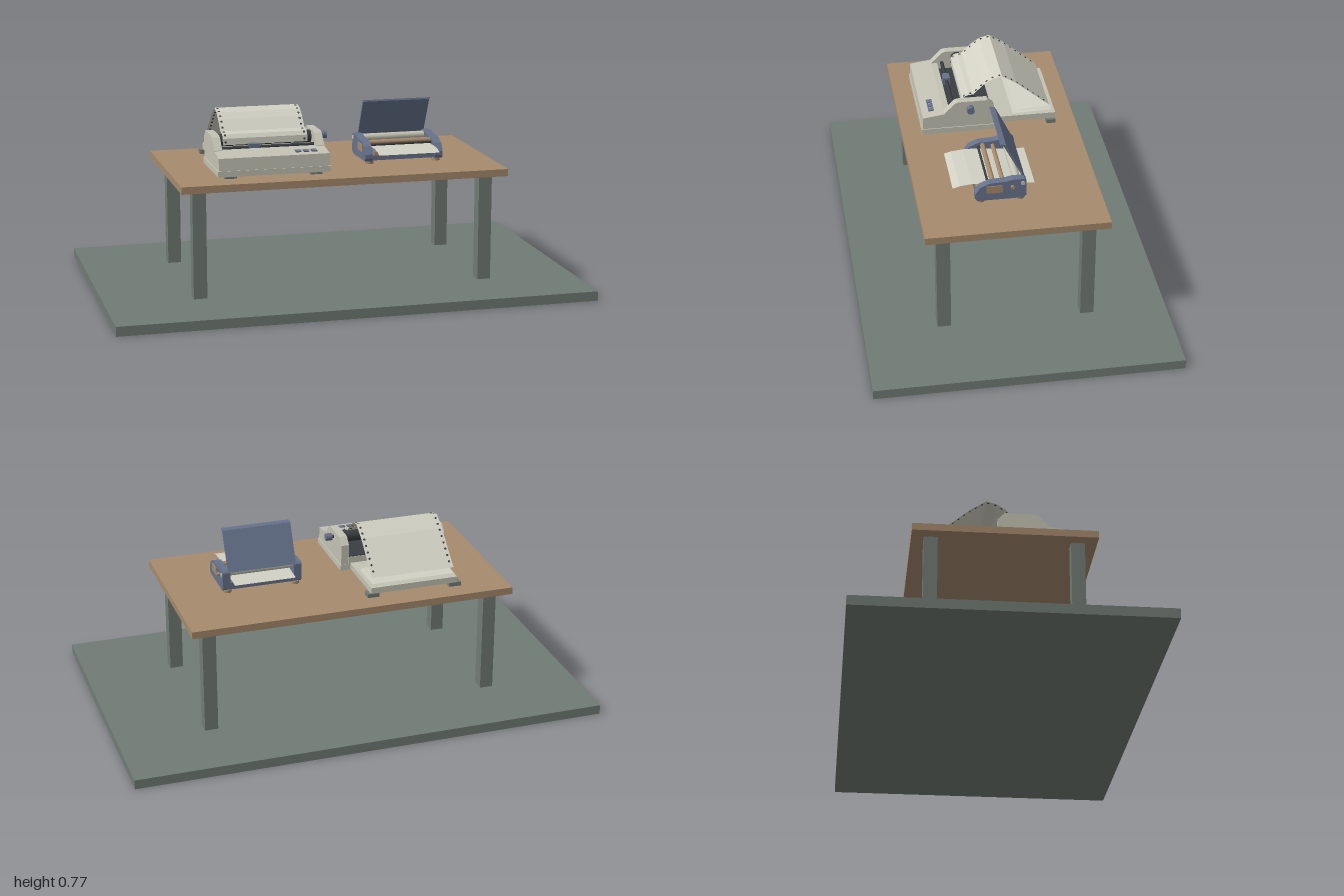
import * as THREE from 'three';
import { mergeGeometries } from 'three/addons/utils/BufferGeometryUtils.js';

const mat = (name, color, side = THREE.FrontSide) => {
  const m = new THREE.MeshStandardMaterial({ color, side });
  m.name = name;
  return m;
};

export function createModel() {
  const slate = mat('slate green', 0x717b75);
  const wood = mat('tan', 0xa68a6c);
  const casing = mat('casing cream', 0xc4c3b4);
  const paper = mat('paper', 0xd2d1c4, THREE.DoubleSide);
  const blue = mat('slate blue', 0x67738c);
  const dark = mat('charcoal', 0x3a3e42);
  const root = new THREE.Group();

  const group = (name) => {
    const g = new THREE.Group();
    g.name = name;
    root.add(g);
    return g;
  };
  const add = (parent, name, geo, m) => {
    const mesh = new THREE.Mesh(geo, m);
    mesh.name = name;
    parent.add(mesh);
    return mesh;
  };
  // Box given by its limits on each axis
  const box = (parent, name, m, x0, x1, y0, y1, z0, z1) => {
    const mesh = add(parent, name, new THREE.BoxGeometry(x1 - x0, y1 - y0, z1 - z0), m);
    mesh.position.set((x0 + x1) / 2, (y0 + y1) / 2, (z0 + z1) / 2);
    return mesh;
  };
  // Side profile of [z, y] points extruded from x0 to x1
  const profile = (parent, name, m, pts, x0, x1) => {
    const shape = new THREE.Shape(pts.map(([z, y]) => new THREE.Vector2(z, y)));
    const geo = new THREE.ExtrudeGeometry(shape, { depth: x1 - x0, bevelEnabled: false });
    geo.rotateY(-Math.PI / 2).translate(x1, 0, 0);
    return add(parent, name, geo, m);
  };
  // Cylinder lying along x
  const rod = (parent, name, m, x0, x1, y, z, r, sides = 16) => {
    const geo = new THREE.CylinderGeometry(r, r, x1 - x0, sides).rotateZ(Math.PI / 2);
    const mesh = add(parent, name, geo, m);
    mesh.position.set((x0 + x1) / 2, y, z);
    return mesh;
  };
  // Thin folded sheet following [z, y] points
  const sheet = (parent, name, pts, x0, x1) => {
    const v = [];
    for (let i = 0; i < pts.length - 1; i++) {
      const [z0, y0] = pts[i], [z1, y1] = pts[i + 1];
      v.push(x0, y0, z0, x1, y0, z0, x1, y1, z1, x0, y0, z0, x1, y1, z1, x0, y1, z1);
    }
    const geo = new THREE.BufferGeometry();
    geo.setAttribute('position', new THREE.Float32BufferAttribute(v, 3));
    geo.computeVertexNormals();
    return add(parent, name, geo, paper);
  };

  // Floor slab and table
  const table = group('table');
  box(table, 'floor', slate, -1, 1, 0, 0.04, -0.625, 0.625);
  box(table, 'tableTop', wood, -0.688, 0.688, 0.49, 0.52, -0.373, 0.373);
  for (const x of [-0.607, 0.607])
    for (const z of [-0.295, 0.295])
      box(table, 'tableLeg', slate, x - 0.028, x + 0.028, 0.04, 0.49, z - 0.028, z + 0.028);

  // Large printer: casing
  const big = group('largePrinter');
  box(big, 'lowerCasing', casing, -0.522, -0.05, 0.533, 0.557, -0.018, 0.291);
  box(big, 'middleCasing', casing, -0.488, -0.085, 0.557, 0.59, -0.018, 0.18);
  profile(big, 'frontPanel', casing,
    [[0.288, 0.557], [0.286, 0.609], [0.195, 0.622], [0.17, 0.622], [0.17, 0.557]], -0.518, -0.054);
  const cheek = [[0.195, 0.557], [0.195, 0.624], [0.15, 0.67], [0.135, 0.675],
    [0.012, 0.675], [-0.016, 0.645], [-0.016, 0.557]];
  profile(big, 'rightCheek', casing, cheek, -0.518, -0.484);
  profile(big, 'leftCheek', casing, cheek, -0.088, -0.054);
  box(big, 'paperTray', casing, -0.473, -0.094, 0.537, 0.563, -0.287, -0.018);
  for (const x of [-0.465, -0.105])
    for (const z of [0.248, 0.03, -0.267])
      box(big, 'foot', slate, x - 0.025, x + 0.025, 0.52, 0.537, z - 0.02, z + 0.02);

  // Large printer: mechanism and controls
  box(big, 'printSlot', dark, -0.484, -0.088, 0.59, 0.593, -0.015, 0.17);
  rod(big, 'platen', dark, -0.484, -0.088, 0.645, 0.085, 0.026, 20);
  rod(big, 'carriageRail', dark, -0.484, -0.088, 0.622, 0.15, 0.008, 10);
  box(big, 'printHead', blue, -0.365, -0.32, 0.605, 0.638, 0.135, 0.165);
  rod(big, 'knobShaft', dark, -0.054, -0.04, 0.648, 0.087, 0.007);
  rod(big, 'platenKnob', blue, -0.044, -0.018, 0.648, 0.087, 0.016);
  for (const x of [-0.178, -0.145, -0.112]) {
    const button = box(big, 'button', blue, x - 0.012, x + 0.012, 0.611, 0.619, 0.233, 0.257);
    button.rotation.x = 0.14;
  }

  // Fan-fold paper with sprocket holes along both edges
  const path = [[0.113, 0.628], [0.112, 0.655], [0.1, 0.671], [0.085, 0.675], [0.065, 0.677],
    [0.02, 0.72], [-0.013, 0.743], [-0.058, 0.755], [-0.12, 0.715], [-0.262, 0.596],
    [-0.12, 0.582], [-0.27, 0.573], [-0.105, 0.566]];
  sheet(big, 'fanFoldPaper', path, -0.465, -0.106);
  const holes = [];
  let next = 0.012, start = 0;
  for (let i = 0; i < 9; i++) {
    const [z0, y0] = path[i], [z1, y1] = path[i + 1];
    const len = Math.hypot(z1 - z0, y1 - y0);
    for (; next < start + len; next += 0.03) {
      const t = (next - start) / len;
      for (const x of [-0.453, -0.118])
        holes.push(new THREE.CylinderGeometry(0.005, 0.005, 0.002, 8)
          .rotateX(Math.atan2(y0 - y1, z1 - z0))
          .translate(x, y0 + (y1 - y0) * t, z0 + (z1 - z0) * t));
    }
    start += len;
  }
  add(big, 'sprocketHoles', mergeGeometries(holes), dark);

  // Small printer: casing
  const small = group('smallPrinter');
  const side = [[0.135, 0.532], [0.143, 0.545], [0.143, 0.562], [0.122, 0.594], [0.085, 0.61],
    [0.02, 0.613], [-0.01, 0.62], [-0.058, 0.62], [-0.065, 0.612], [-0.065, 0.542], [-0.052, 0.532]];
  profile(small, 'rightSide', blue, side, 0.137, 0.17);
  profile(small, 'leftSide', blue, side, 0.443, 0.477);
  box(small, 'basePan', blue, 0.17, 0.443, 0.535, 0.555, -0.06, 0.135);
  box(small, 'frontStrip', wood, 0.18, 0.433, 0.555, 0.572, 0.115, 0.132);
  box(small, 'rearWall', blue, 0.17, 0.443, 0.555, 0.565, -0.06, -0.045);
  for (const x of [0.16, 0.453])
    for (const z of [0.118, -0.043])
      rod(small, 'foot', wood, -0.006, 0.006, 0, 0, 0.018)
        .rotateZ(Math.PI / 2).position.set(x, 0.526, z);

  // Small printer: rollers, side details and paper
  rod(small, 'platen', casing, 0.17, 0.443, 0.602, -0.03, 0.016);
  rod(small, 'frontRoller', wood, 0.17, 0.443, 0.598, 0.067, 0.01);
  rod(small, 'middleRoller', wood, 0.17, 0.443, 0.592, 0.025, 0.009);
  rod(small, 'tearBar', dark, 0.17, 0.443, 0.592, 0.086, 0.005, 8);
  box(small, 'leftPlate', wood, 0.476, 0.48, 0.565, 0.598, 0.03, 0.097);
  box(small, 'rightPlate', wood, 0.134, 0.138, 0.565, 0.598, 0.03, 0.097);
  rod(small, 'sideKnob', wood, 0.477, 0.488, 0.588, -0.009, 0.008);
  for (const x of [0.137, 0.477])
    rod(small, 'hingeCap', casing, x - 0.003, x + 0.003, 0.601, -0.051, 0.009);
  sheet(small, 'paperSheet',
    [[0.228, 0.574], [0.2, 0.583], [0.15, 0.588], [0.09, 0.587], [-0.04, 0.574], [-0.106, 0.571]],
    0.174, 0.436);

  // Raised lid with a bent lip
  profile(small, 'lid', blue, [[-0.063, 0.612], [-0.053, 0.616], [0.023, 0.764], [0.036, 0.768],
    [0.034, 0.775], [0.014, 0.77]].reverse(), 0.16, 0.452);
  return root;
}
